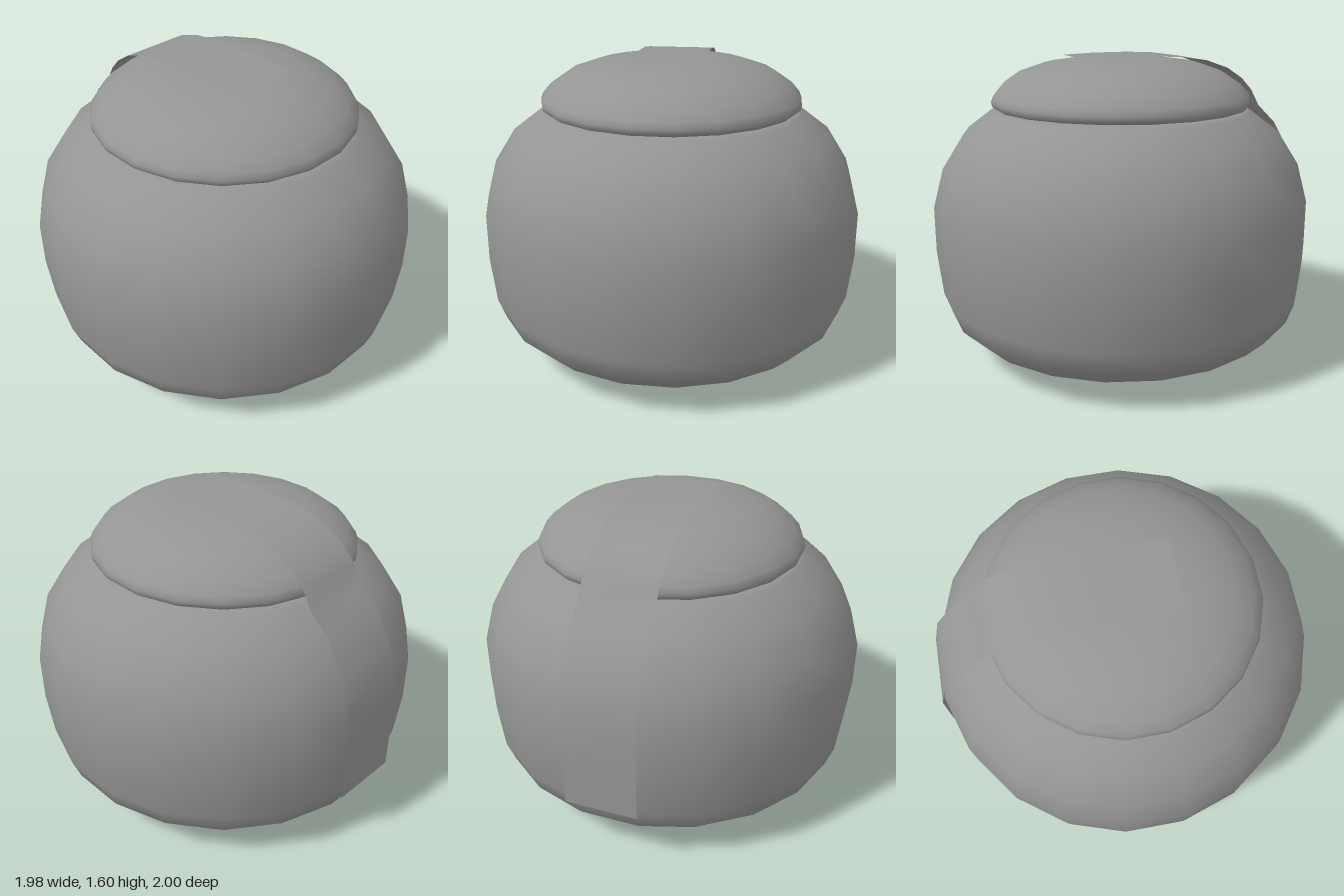
import * as THREE from 'three';

const SIDES = 20;
const CENTRE_Z = 0.007;
const material = new THREE.MeshStandardMaterial({ color: 0x959595, side: THREE.DoubleSide });

// Turned part from [radius, height] pairs, with a flat side facing the front
function turned(name, profile) {
  const points = profile.map(([r, y]) => new THREE.Vector2(r, y));
  const mesh = new THREE.Mesh(new THREE.LatheGeometry(points, SIDES, Math.PI / SIDES), material);
  mesh.name = name;
  mesh.position.z = CENTRE_Z;
  return mesh;
}

// Thin band of constant width following [z, y] pairs from its low end to its high end
function band(name, width, path) {
  const geometry = new THREE.PlaneGeometry(width, 1, 1, path.length - 1);
  const position = geometry.attributes.position;
  for (let i = 0; i < position.count; i++) {
    const [z, y] = path[Math.floor(i / 2)];
    position.setXYZ(i, position.getX(i), y, z);
  }
  geometry.computeVertexNormals();
  const mesh = new THREE.Mesh(geometry, material);
  mesh.name = name;
  return mesh;
}

export function createModel() {
  const group = new THREE.Group();
  group.name = 'lidded jar';

  // Round pot with a hollow foot ring
  group.add(turned('pot', [
    [0.522, 0.04], [0.53, 0.012], [0.55, 0], [0.575, 0.002], [0.588, 0.015], [0.592, 0.04],
    [0.61, 0.055], [0.68, 0.076], [0.84, 0.135], [0.938, 0.23], [0.978, 0.34], [1.004, 0.58],
    [1.004, 0.82], [0.948, 1.025], [0.836, 1.2], [0.69, 1.31], [0.66, 1.32], [0.62, 1.321],
  ]));

  // Flat underside recessed inside the foot ring
  group.add(turned('base', [[0, 0.04], [0.522, 0.04]]));

  // Domed lid with a rounded rim
  group.add(turned('lid', [
    [0.62, 1.321], [0.665, 1.328], [0.682, 1.342], [0.686, 1.365], [0.675, 1.395],
    [0.63, 1.447], [0.54, 1.508], [0.405, 1.554], [0.25, 1.576], [0.1, 1.58], [0, 1.58],
  ]));

  // Paper seal running over the lid and down the back
  group.add(band('seal strip', 0.37, [
    [-0.998, 0.35], [-1.0, 0.57], [-0.996, 0.83], [-0.943, 1.04], [-0.835, 1.215],
    [-0.73, 1.315], [-0.682, 1.4], [-0.62, 1.466], [-0.53, 1.524],
    [-0.405, 1.567], [-0.25, 1.588], [-0.1, 1.595], [0.1, 1.595], [0.265, 1.588],
  ]));

  return group;
}
